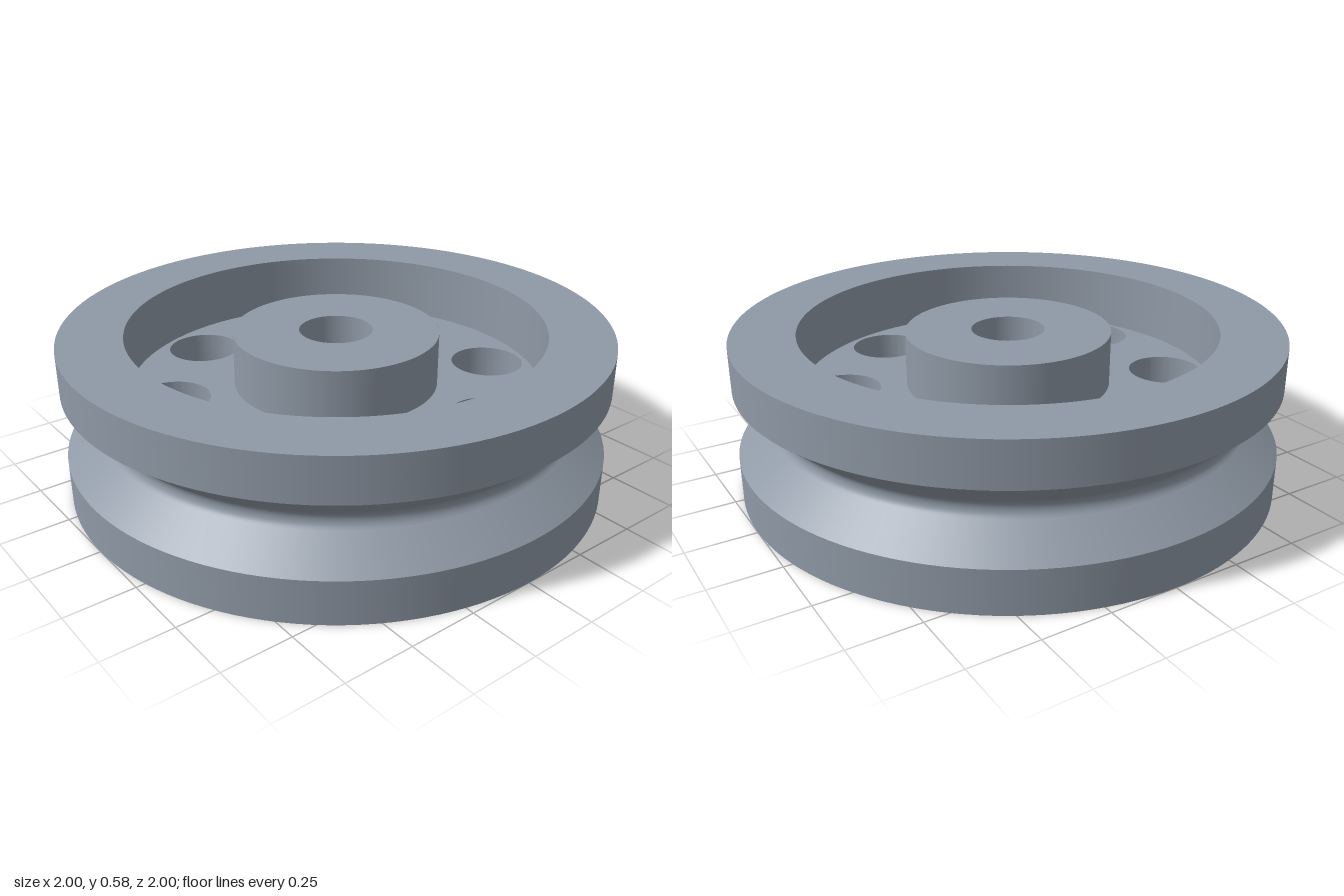
import * as THREE from 'three';
import { mergeGeometries, toCreasedNormals } from 'three/addons/utils/BufferGeometryUtils.js';

const SEGMENTS = 128;
const HEIGHT = 0.58;
const MID = HEIGHT / 2;

// Lathe a closed outline with a hard edge between its strips;
// points within one strip are smoothed together.
function turned(strips) {
  return mergeGeometries(strips.map((strip) =>
    new THREE.LatheGeometry(strip.map(([r, y]) => new THREE.Vector2(r, y)), SEGMENTS)));
}

// Plain ring with square edges
function ring(inner, outer, bottom, top) {
  return turned([
    [[outer, bottom], [outer, top]],
    [[outer, top], [inner, top]],
    [[inner, top], [inner, bottom]],
    [[inner, bottom], [outer, bottom]],
  ]);
}

// V groove with a rounded floor
function grooveProfile() {
  const radius = 0.04, centre = 0.906, sweep = THREE.MathUtils.degToRad(50);
  const points = [];
  for (let i = 0; i <= 10; i++) {
    const a = -sweep + (2 * sweep * i) / 10;
    points.push([centre - radius * Math.cos(a), MID + radius * Math.sin(a)]);
  }
  return points;
}

export function createModel() {
  const group = new THREE.Group();
  group.name = 'pulleyWheel';
  const steel = new THREE.MeshStandardMaterial({ color: 0x8f99a6 });
  steel.name = 'blue grey steel';

  const add = (name, geometry) => {
    const mesh = new THREE.Mesh(geometry, steel);
    mesh.name = name;
    group.add(mesh);
  };

  // Grooved rim
  const inner = 0.765, low = 0.16, high = HEIGHT - low;
  const groove = grooveProfile();
  add('rim', turned([
    [[1, 0], [1, low]],
    [[1, low], groove[0]],
    groove,
    [groove[groove.length - 1], [1, high]],
    [[1, high], [1, HEIGHT]],
    [[1, HEIGHT], [inner, HEIGHT]],
    [[inner, HEIGHT], [inner, 0]],
    [[inner, 0], [1, 0]],
  ]));

  // Hub with its bore, set slightly below the rim faces
  add('hub', ring(0.135, 0.378, 0.025, HEIGHT - 0.025));

  // Web disc with eight lightening holes
  const disc = new THREE.Shape().absarc(0, 0, 0.785, 0, Math.PI * 2);
  disc.holes.push(new THREE.Path().absarc(0, 0, 0.36, 0, Math.PI * 2, true));
  for (let i = 0; i < 8; i++) {
    const a = ((i + 0.5) * Math.PI) / 4;
    disc.holes.push(new THREE.Path().absarc(
      0.61 * Math.cos(a), 0.61 * Math.sin(a), 0.136, 0, Math.PI * 2, true));
  }
  const thickness = 0.13;
  const web = new THREE.ExtrudeGeometry(disc, { depth: thickness, bevelEnabled: false, curveSegments: 48 });
  web.rotateX(-Math.PI / 2).translate(0, MID - thickness / 2, 0);
  add('web', toCreasedNormals(web, 0.6));

  return group;
}
